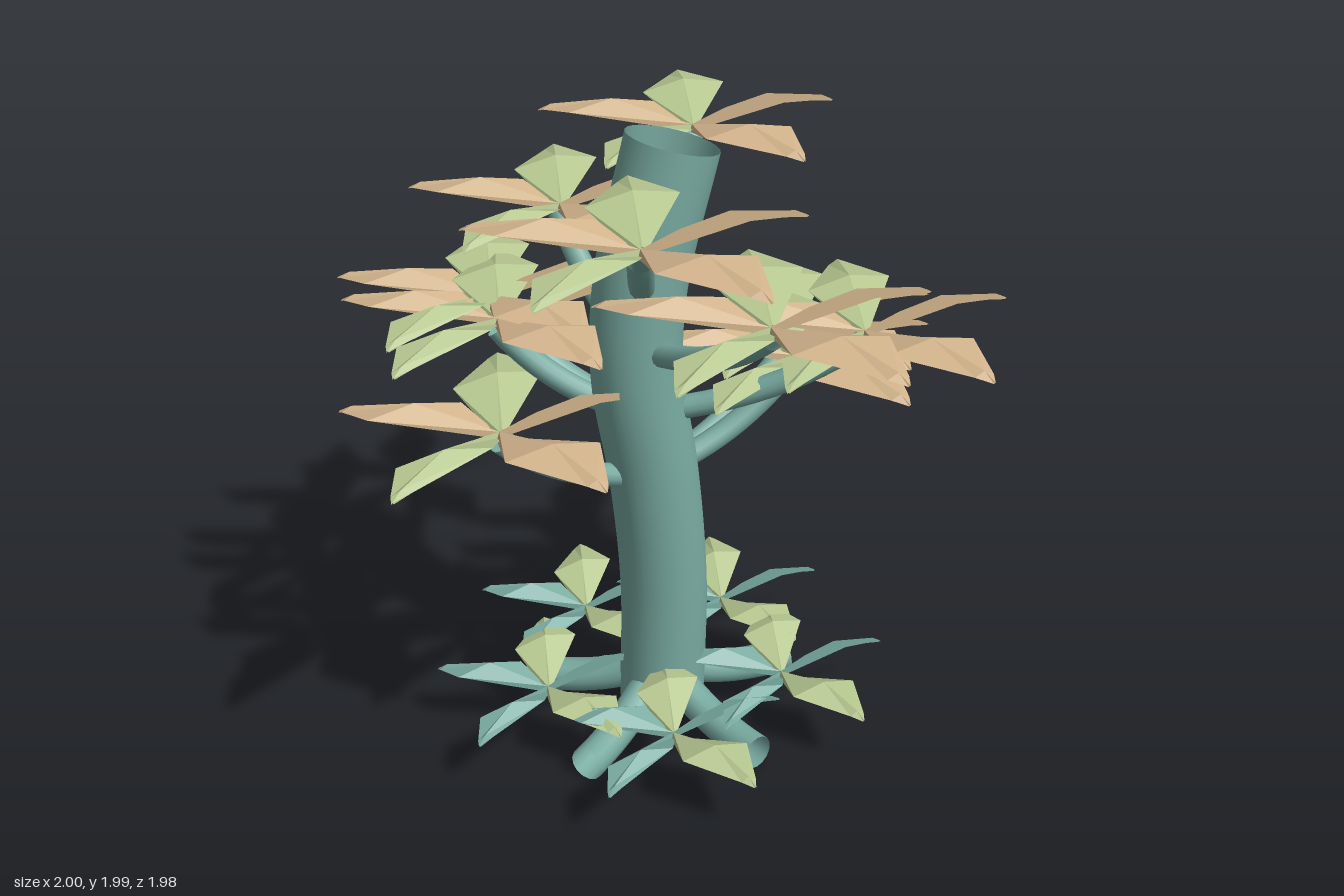
import * as THREE from 'three';

const mat = (name, color) => {
  const m = new THREE.MeshStandardMaterial({ color, side: THREE.DoubleSide });
  m.name = name;
  return m;
};

export function createModel() {
  const tree = new THREE.Group();
  tree.name = 'tree';
  const bark = mat('teal bark', 0x78aaa0);
  const green = mat('leaf green', 0xb5c68f);
  const tan = mat('leaf tan', 0xd2b48c);
  const V = (x, y, z) => new THREE.Vector3(x, y, z);

  const tube = (name, curve, radius, segments, sides) => {
    const mesh = new THREE.Mesh(new THREE.TubeGeometry(curve, segments, radius, sides), bark);
    mesh.name = name;
    tree.add(mesh);
  };

  // Leaf: a ridged diamond whose width always runs along x
  // stations: [fraction of length, half width, ridge height, edge height]
  const stations = [[0, 0.01, 0.02, 0], [0.52, 0.138, 0.085, 0.058], [0.92, 0.03, 0.055, 0.04], [1, 0.003, 0.035, 0.03]];
  const leafGeometry = (angle, length) => {
    const pos = [], index = [], k = length / 0.48;
    for (const [s, w, ridge, edge] of stations) {
      const x = Math.cos(angle) * s * length, z = Math.sin(angle) * s * length;
      pos.push(x - w * k, edge, z, x, ridge, z, x + w * k, edge, z);
    }
    const flip = Math.sin(angle) < 0;
    for (let i = 0; i < stations.length - 1; i++) {
      for (let j = 0; j < 2; j++) {
        const a = i * 3 + j, b = a + 1, c = a + 3, d = a + 4;
        if (flip) index.push(a, b, c, b, d, c);
        else index.push(a, c, b, b, c, d);
      }
    }
    const indexed = new THREE.BufferGeometry();
    indexed.setAttribute('position', new THREE.Float32BufferAttribute(pos, 3));
    indexed.setIndex(index);
    const geo = indexed.toNonIndexed();
    geo.computeVertexNormals();
    return geo;
  };

  // Five leaves spread evenly around a centre
  const leafCluster = (name, length, colours) => {
    const geos = colours.map((_, i) => leafGeometry(i * Math.PI * 0.4, length));
    return (x, y, z) => {
      const g = new THREE.Group();
      g.name = name;
      geos.forEach((geo, i) => {
        const leaf = new THREE.Mesh(geo, colours[i]);
        leaf.name = 'leaf';
        g.add(leaf);
      });
      g.position.set(x, y, z);
      tree.add(g);
    };
  };
  const addCanopy = leafCluster('canopyLeaves', 0.485, [tan, tan, green, tan, green]);
  const addGround = leafCluster('groundLeaves', 0.37, [bark, green, bark, bark, green]);

  // Trunk: gently swaying open tube
  const trunk = new THREE.CatmullRomCurve3([
    V(-0.06, 0.05, -0.1), V(-0.05, 0.5, -0.1), V(-0.08, 0.9, -0.1),
    V(-0.13, 1.25, -0.1), V(-0.115, 1.55, -0.1), V(-0.01, 1.965, -0.1),
  ]);
  tube('trunk', trunk, 0.14, 40, 24);
  const trunkX = (y) => {
    let best = trunk.points[0];
    for (const p of trunk.getPoints(100)) if (Math.abs(p.y - y) < Math.abs(best.y - y)) best = p;
    return best.x;
  };

  // Branches, each carrying a leaf cluster: [x, y, z] of the cluster centre
  const tips = [
    [-0.31, 1.85, 0.38], [0.21, 1.85, -0.46],
    [0, 1.63, 0.52], [-0.2, 1.63, -0.54],
    [0.45, 1.41, 0.235], [-0.5, 1.41, -0.28], [-0.47, 1.41, -0.45],
    [-0.6, 1.19, 0], [0.515, 1.19, -0.3], [0.395, 1.19, -0.1],
  ];
  for (const [x, y, z] of tips) {
    const y0 = y - 0.27, x0 = trunkX(y0);
    const curve = new THREE.QuadraticBezierCurve3(
      V(x0 + (x - x0) * 0.15, y0, -0.1 + (z + 0.1) * 0.15),
      V(x0 + (x - x0) * 0.65, y0 + 0.07, -0.1 + (z + 0.1) * 0.65),
      V(x, y - 0.01, z));
    tube('branch', curve, 0.037, 12, 12);
    addCanopy(x, y, z);
  }

  // Roots, with ground leaves between them
  for (let i = 0; i < 5; i++) {
    const a = i * Math.PI * 0.4, b = a + Math.PI * 0.2;
    const at = (r, y) => V(-0.06 + Math.cos(a) * r, y, -0.1 + Math.sin(a) * r);
    tube('root', new THREE.QuadraticBezierCurve3(at(0.03, 0.17), at(0.2, 0.055), at(0.46, 0.064)), 0.056, 14, 14);
    addGround(-0.06 + Math.cos(b) * 0.4, 0.17, -0.1 + Math.sin(b) * 0.4);
  }
  return tree;
}
